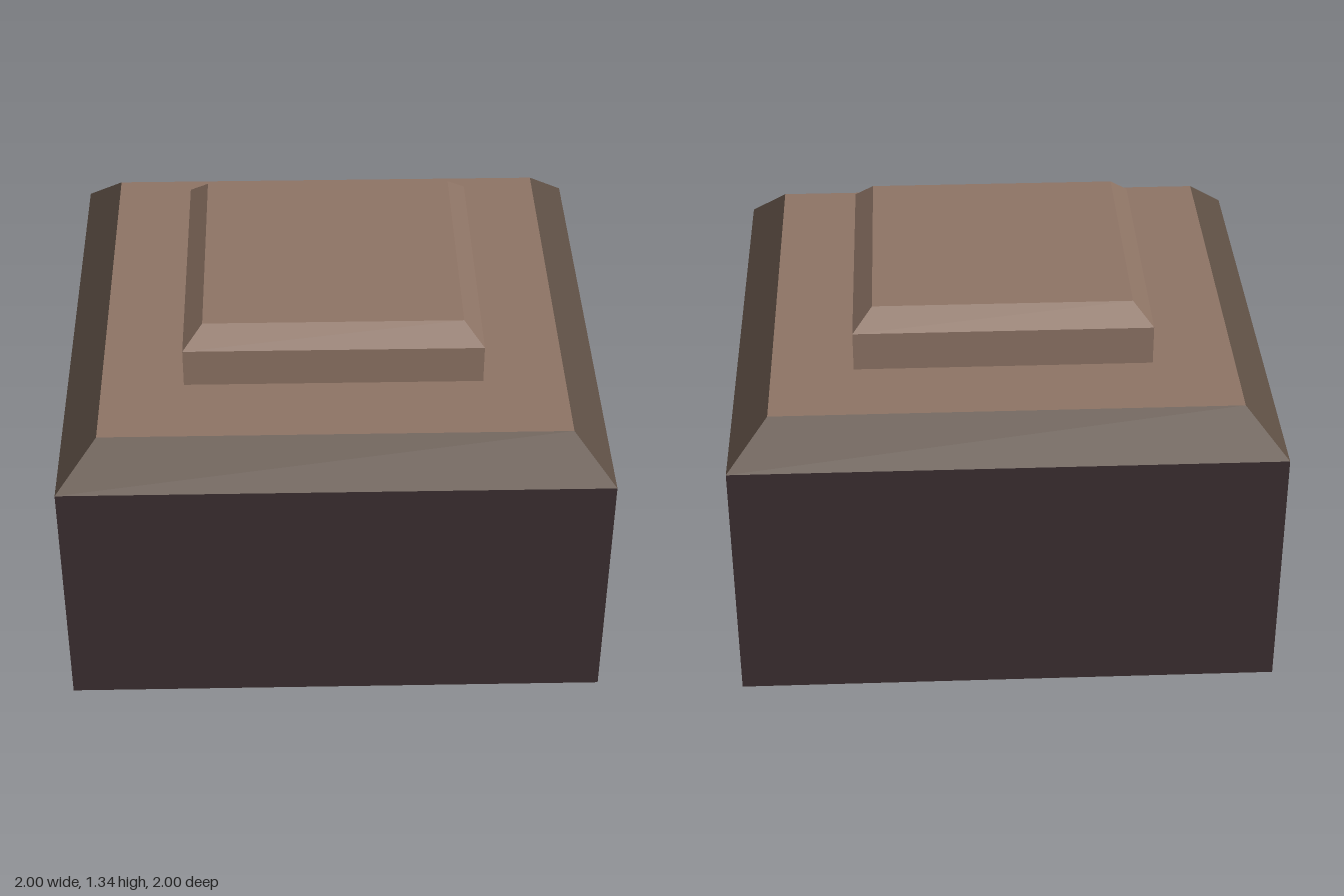
import * as THREE from 'three';

const flat = (name, color) => new THREE.MeshStandardMaterial({
  name, color, flatShading: true, side: THREE.DoubleSide,
});

// Four sloped or upright sides between two squares, open at both ends
function squareBand(name, halfBottom, halfTop, y0, y1, material) {
  const geometry = new THREE.CylinderGeometry(
    halfTop * Math.SQRT2, halfBottom * Math.SQRT2, y1 - y0, 4, 1, true);
  geometry.rotateY(Math.PI / 4).translate(0, (y0 + y1) / 2, 0);
  const mesh = new THREE.Mesh(geometry, material);
  mesh.name = name;
  return mesh;
}

// Horizontal square facing up
function squarePlate(name, half, y, material) {
  const geometry = new THREE.PlaneGeometry(half * 2, half * 2);
  geometry.rotateX(-Math.PI / 2).translate(0, y, 0);
  const mesh = new THREE.Mesh(geometry, material);
  mesh.name = name;
  return mesh;
}

export function createModel() {
  const darkWall = flat('dark wall', 0x3c2f31);
  const edgeBrown = flat('edge brown', 0x5f5045);
  const topBrown = flat('top brown', 0x8f7566);

  const model = new THREE.Group();
  model.name = 'steppedBlock';

  // Hollow base, open underneath
  const base = new THREE.Group();
  base.name = 'base';
  base.add(
    squareBand('baseWalls', 1, 1, 0, 0.965, darkWall),
    squareBand('baseBevel', 1, 0.853, 0.965, 1.112, edgeBrown),
    squarePlate('baseTop', 0.853, 1.112, topBrown),
  );

  // Raised cap with a bevelled rim
  const cap = new THREE.Group();
  cap.name = 'cap';
  cap.add(
    squareBand('capWalls', 0.55, 0.55, 1.112, 1.262, topBrown),
    squareBand('capBevel', 0.55, 0.477, 1.262, 1.335, topBrown),
    squarePlate('capTop', 0.477, 1.335, topBrown),
  );

  model.add(base, cap);
  return model;
}
